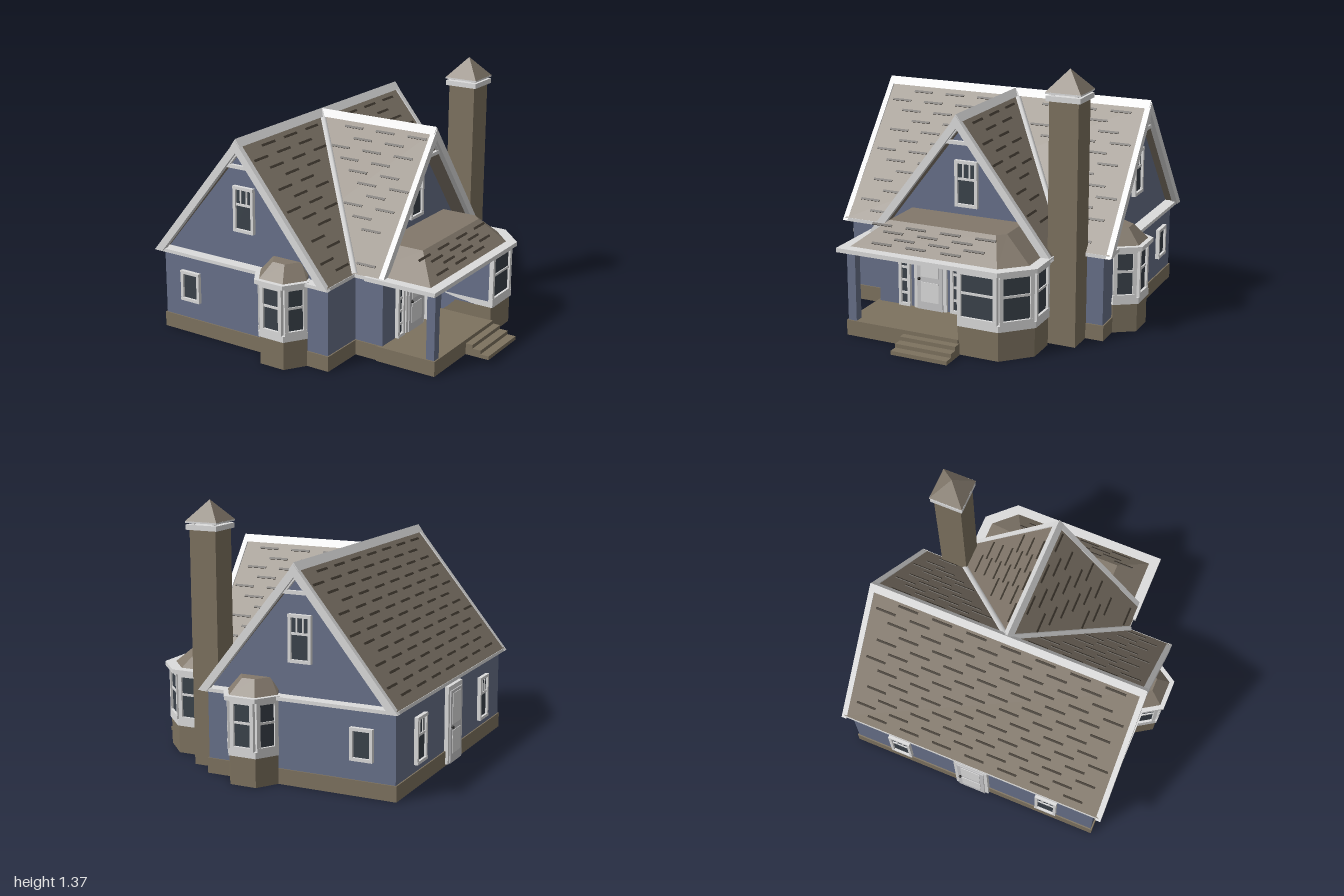
import * as THREE from 'three';
import { mergeGeometries } from 'three/addons/utils/BufferGeometryUtils.js';

const mat = (name, color) => Object.assign(new THREE.MeshStandardMaterial({ color }), { name });
const M = {
  wall: mat('blue siding', 0x677089), roof: mat('brown shingle', 0x82786b), gap: mat('shingle shadow', 0x423b32),
  stone: mat('taupe stone', 0x7d725f), trim: mat('pale trim', 0xdcdcdc), glass: mat('dark glass', 0x3a424a),
  door: mat('grey door', 0xc6c6c8), knob: mat('black metal', 0x202020),
};
const RIDGE = 1.1, EAVE = 0.45, HALF = 0.537, LEN = 1.508;  // main roof
const GHALF = 0.505, GFRONT = 0.70;                         // front gable roof

function add(parent, name, geo, material, x = 0, y = 0, z = 0, ry = 0) {
  const m = new THREE.Mesh(geo, material);
  m.name = name;
  m.position.set(x, y, z);
  m.rotation.y = ry;
  parent.add(m);
  return m;
}
const box = (w, h, d) => new THREE.BoxGeometry(w, h, d);

// Solid between two plan outlines [x, z] with the same number of corners
function loft(a, ya, b, yb) {
  const area = a.reduce((s, p, i) => { const q = a[(i + 1) % a.length]; return s + p[0] * q[1] - q[0] * p[1]; }, 0);
  if (area > 0) { a = [...a].reverse(); b = [...b].reverse(); }
  const pos = [], n = a.length;
  for (let i = 0; i < n; i++) {
    const j = (i + 1) % n;
    const A = [a[i][0], ya, a[i][1]], B = [a[j][0], ya, a[j][1]];
    const C = [b[j][0], yb, b[j][1]], D = [b[i][0], yb, b[i][1]];
    pos.push(...A, ...B, ...C, ...A, ...C, ...D);
  }
  for (const [p, y, up] of [[a, ya, false], [b, yb, true]]) {
    for (const f of THREE.ShapeUtils.triangulateShape(p.map(q => new THREE.Vector2(q[0], q[1])), [])) {
      let [r, s, t] = f.map(i => p[i]);
      const ny = (s[1] - r[1]) * (t[0] - r[0]) - (s[0] - r[0]) * (t[1] - r[1]);
      if ((ny > 0) !== up) [s, t] = [t, s];
      for (const q of [r, s, t]) pos.push(q[0], y, q[1]);
    }
  }
  const g = new THREE.BufferGeometry();
  g.setAttribute('position', new THREE.Float32BufferAttribute(pos, 3));
  g.computeVertexNormals();
  return g;
}
const prism = (p, y0, y1) => loft(p, y0, p, y1);

// Outline drawn in x, y and extruded along z from z0 to z1
function extrude(pts, z0, z1, hole) {
  const v = p => p.map(q => new THREE.Vector2(q[0], q[1]));
  const s = new THREE.Shape(v(pts));
  if (hole) s.holes.push(new THREE.Path(v(hole)));
  return new THREE.ExtrudeGeometry(s, { depth: z1 - z0, bevelEnabled: false }).translate(0, 0, z0);
}
function chevron(h, y0, top, t, z0, z1) {
  const i = h - t * h / (top - y0);
  return extrude([[-h, y0], [-i, y0], [0, top - t], [i, y0], [h, y0], [0, top]], z0, z1);
}

// Window facing +z: bars = heights of cross bars, uprights = bars in the top part
function windowAt(parent, name, w, h, x, y, z, ry, bars = [], uprights = 0, f = 0.016) {
  const g = new THREE.Group();
  g.name = name;
  g.position.set(x, y, z);
  g.rotation.y = ry;
  parent.add(g);
  add(g, 'glass', box(w - f, h - f, 0.008), M.glass, 0, 0, 0.004);
  for (const s of [-1, 1]) {
    add(g, 'frameSide', box(f, h, 0.024), M.trim, s * (w - f) / 2, 0, 0.008);
    add(g, 'frameRail', box(w, f, 0.026), M.trim, 0, s * (h - f) / 2, 0.008);
  }
  for (const b of bars) add(g, 'crossBar', box(w - f, 0.012, 0.016), M.trim, 0, (b - 0.5) * h, 0.006);
  const base = bars.length ? bars[bars.length - 1] : 0, uh = (1 - base) * h;
  for (let i = 1; i <= uprights; i++)
    add(g, 'upright', box(0.008, uh, 0.015), M.trim, (i / (uprights + 1) - 0.5) * (w - f), h / 2 - uh / 2, 0.006);
}

function doorAt(parent, name, w, h, x, y, z, ry) {
  const g = new THREE.Group();
  g.name = name;
  g.position.set(x, y, z);
  g.rotation.y = ry;
  parent.add(g);
  add(g, 'frame', box(w, h, 0.024), M.trim, 0, h / 2, 0.002);
  add(g, 'leaf', box(w - 0.04, h - 0.025, 0.008), M.door, 0, (h - 0.025) / 2, 0.016);
  for (const [py, ph] of [[0.27, 0.3], [0.7, 0.4]])
    add(g, 'panel', box(w - 0.085, ph * h, 0.006), M.trim, 0, py * h, 0.02);
  add(g, 'knob', new THREE.SphereGeometry(0.008, 10, 8), M.knob, -w / 2 + 0.035, h * 0.47, 0.027);
}

// Move an open path outwards (to the right-hand face of each segment)
function offset(path, d) {
  const ns = path.slice(1).map((q, i) => {
    const dx = q[0] - path[i][0], dz = q[1] - path[i][1], l = Math.hypot(dx, dz);
    return [-dz / l, dx / l];
  });
  return path.map((p, i) => {
    const a = ns[Math.max(i - 1, 0)], b = ns[Math.min(i, ns.length - 1)];
    const k = d / (1 + a[0] * b[0] + a[1] * b[1]);
    return [p[0] + (a[0] + b[0]) * k, p[1] + (a[1] + b[1]) * k];
  });
}
function bay(parent, name, path, back, ownRoof) {
  const g = new THREE.Group();
  g.name = name;
  parent.add(g);
  const plan = d => [...offset(path, d), ...back];
  add(g, 'bayBase', prism(plan(0.012), 0, 0.15), M.stone);
  add(g, 'baySill', prism(plan(0.02), 0.15, 0.182), M.trim);
  add(g, 'bayBody', prism(plan(0), 0.08, 0.44), M.wall);
  path.slice(1).forEach((q, i) => {
    const p = path[i], dx = q[0] - p[0], dz = q[1] - p[1];
    windowAt(g, 'bayWindow', Math.hypot(dx, dz), 0.256, (p[0] + q[0]) / 2, 0.308, (p[1] + q[1]) / 2,
      Math.atan2(-dz, dx), [0.55], 0, 0.02);
  });
  if (ownRoof) {
    add(g, 'bayEave', prism(plan(0.036), 0.433, 0.455), M.trim);
    add(g, 'bayRoof', loft(plan(0.012), 0.455, plan(-0.055), 0.53), M.roof);
  }
}

// Staggered shingle shadow dashes on a slope falling towards +z
function dashes(parent, rows, z0, z1, yTop, yEnd, inside, ry) {
  const list = [], tilt = Math.atan2(yTop - yEnd, z1 - z0);
  for (let i = 1; i <= rows; i++) {
    const t = i / (rows + 1), z = z0 + (z1 - z0) * t;
    for (let x = -0.8 + (i * 0.077) % 0.19; x < 0.8; x += 0.19) {
      if (!inside(x - 0.055, z) || !inside(x + 0.055, z)) continue;
      list.push(box(0.11, 0.005, 0.012).rotateX(tilt).translate(x, yTop + (yEnd - yTop) * t + 0.002, z));
    }
  }
  add(parent, 'shingleRows', mergeGeometries(list), M.gap, 0, 0, 0, ry);
}

// Trim, pierced peak ornament and upper window of a gable facing +z
function gableEnd(parent, name, h, edge, wallZ, ry) {
  const g = new THREE.Group();
  g.name = name;
  g.rotation.y = ry;
  parent.add(g);
  add(g, 'bargeboard', chevron(h + 0.008, EAVE - 0.01, RIDGE + 0.012, 0.062, edge - 0.025, edge + 0.004), M.trim);
  add(g, 'peakOrnament', extrude([[-0.085, 0.965], [0.085, 0.965], [0, 1.07]], edge - 0.03, edge - 0.012,
    [[-0.045, 0.983], [0, 1.038], [0.045, 0.983]]), M.trim);
  windowAt(g, 'gableWindow', 0.125, 0.24, 0, 0.74, wallZ, 0, [0.6], 2);
}

export function createModel() {
  const model = new THREE.Group();
  model.name = 'house';
  const g = new THREE.Group();
  g.name = 'turnedHouse';
  g.rotation.y = 0.656;
  g.position.set(-0.005, 0, -0.115);
  model.add(g);

  // Walls, foundation and cornice share a T-shaped plan
  const plan = (a, b, c, d) => [[-a, -b], [a, -b], [a, b], [c, b], [c, d], [-c, d], [-c, b], [-a, b]];
  add(g, 'foundation', prism(plan(0.717, 0.522, 0.467, 0.682), 0, 0.08), M.stone);
  add(g, 'walls', prism(plan(0.71, 0.515, 0.46, 0.676), 0.08, 0.44), M.wall);
  add(g, 'cornice', prism(plan(0.748, HALF, GHALF, GFRONT - 0.004), 0.435, 0.453), M.trim);
  const tri = h => [[-h, 0.445], [h, 0.445], [0, 1.065]];
  add(g, 'mainAttic', extrude(tri(0.51), -0.685, 0.685), M.wall, 0, 0, 0, Math.PI / 2);
  add(g, 'frontAttic', extrude(tri(0.475), 0, 0.58), M.wall);

  // Roofs, ridges and valleys
  add(g, 'mainRoof', chevron(HALF, EAVE, RIDGE, 0.04, -LEN / 2 + 0.01, LEN / 2 - 0.01), M.roof, 0, 0, 0, Math.PI / 2);
  add(g, 'frontRoof', chevron(GHALF, EAVE, RIDGE, 0.04, 0, GFRONT - 0.01), M.roof);
  add(g, 'mainRidge', chevron(0.028, 1.083, 1.122, 0.03, -LEN / 2, LEN / 2), M.trim, 0, 0, 0, Math.PI / 2);
  add(g, 'frontRidge', chevron(0.026, 1.083, 1.12, 0.03, 0, GFRONT), M.trim);
  for (const s of [-1, 1]) {
    const path = new THREE.LineCurve3(new THREE.Vector3(0, RIDGE, 0), new THREE.Vector3(s * GHALF, EAVE, HALF));
    add(g, 'valley', new THREE.TubeGeometry(path, 1, 0.018, 6), M.trim);
  }
  const ratio = HALF / GHALF;
  dashes(g, 13, 0, HALF, RIDGE, EAVE, x => Math.abs(x) < 0.73, Math.PI);
  dashes(g, 13, 0, HALF, RIDGE, EAVE, (x, z) => Math.abs(x) < 0.73 && Math.abs(x) > z / ratio + 0.02, 0);
  for (const s of [-1, 1])
    dashes(g, 13, 0, GHALF, RIDGE, EAVE, (x, z) => -s * x > z * ratio + 0.02 && -s * x < 0.67, s * Math.PI / 2);
  gableEnd(g, 'frontGable', GHALF, GFRONT, 0.58, 0);
  gableEnd(g, 'leftGable', HALF, LEN / 2, 0.685, Math.PI / 2);
  gableEnd(g, 'rightGable', HALF, LEN / 2, 0.685, -Math.PI / 2);

  // Side bays and small side windows
  for (const s of [-1, 1]) {
    let path = [[0.71, 0.385], [0.81, 0.32], [0.81, 0.19], [0.71, 0.125]], back = [[0.6, 0.16], [0.6, 0.35]];
    if (s < 0) [path, back] = [path, back].map(l => l.map(p => [-p[0], p[1]]).reverse());
    bay(g, 'sideBay', path, back, true);
    windowAt(g, 'sideWindow', 0.12, 0.165, s * 0.71, 0.262, -0.34, s * Math.PI / 2);
  }

  // Porch with corner bay, post, steps and hipped roof
  bay(g, 'porchBay', [[0.14, 0.96], [0.35, 0.96], [0.475, 0.835], [0.475, 0.68]], [[0.45, 0.6], [0.14, 0.6]], false);
  add(g, 'porchFloor', box(0.62, 0.08, 0.335), M.stone, -0.165, 0.04, 0.8175);
  add(g, 'porchPost', box(0.046, 0.36, 0.046), M.wall, -0.445, 0.26, 0.955);
  for (let i = 0; i < 3; i++)
    add(g, 'step', box(0.304, 0.06 - i * 0.02, 0.047), M.stone, 0, 0.03 - i * 0.01, 1.0 + i * 0.046);
  add(g, 'porchEave', prism([[-0.517, 0.6], [-0.517, 1], [0.362, 1], [0.507, 0.86], [0.507, 0.6]], 0.434, 0.456), M.trim);
  add(g, 'porchRoof', loft([[-0.465, 0.57], [-0.465, 0.947], [0.337, 0.947], [0.455, 0.835], [0.455, 0.57]], 0.456,
    [[-0.315, 0.57], [-0.315, 0.815], [0.27, 0.815], [0.31, 0.775], [0.31, 0.57]], 0.576), M.roof);
  dashes(g, 4, 0.815, 0.947, 0.576, 0.456, x => x > -0.4 && x < 0.3, 0);

  // Doors, sidelights and rear windows
  doorAt(g, 'frontDoor', 0.185, 0.352, -0.158, 0.08, 0.676, 0);
  for (const x of [-0.306, -0.01])
    windowAt(g, 'sidelight', 0.066, 0.345, x, 0.255, 0.676, 0, [0.2, 0.4, 0.6, 0.8]);
  doorAt(g, 'backDoor', 0.195, 0.41, 0, 0.01, -0.522, Math.PI);
  for (const x of [-0.44, 0.43])
    windowAt(g, 'backWindow', 0.125, 0.24, x, 0.24, -0.515, Math.PI, [0.6], 2);

  // Chimney
  const c = new THREE.Group();
  c.name = 'chimney';
  c.position.set(0.547, 0, 0.583);
  g.add(c);
  add(c, 'shaft', box(0.15, 1.222, 0.15), M.stone, 0, 0.611, 0);
  add(c, 'cap', box(0.178, 0.026, 0.178), M.trim, 0, 1.235, 0);
  for (const x of [-1, 1]) for (const z of [-1, 1])
    add(c, 'capPost', box(0.016, 0.02, 0.016), M.trim, x * 0.06, 1.256, z * 0.06);
  add(c, 'hoodRim', box(0.182, 0.008, 0.182), M.trim, 0, 1.261, 0);
  add(c, 'hood', new THREE.ConeGeometry(0.129, 0.105, 4).toNonIndexed().rotateY(Math.PI / 4), M.roof, 0, 1.317, 0)
    .geometry.computeVertexNormals();
  return model;
}
